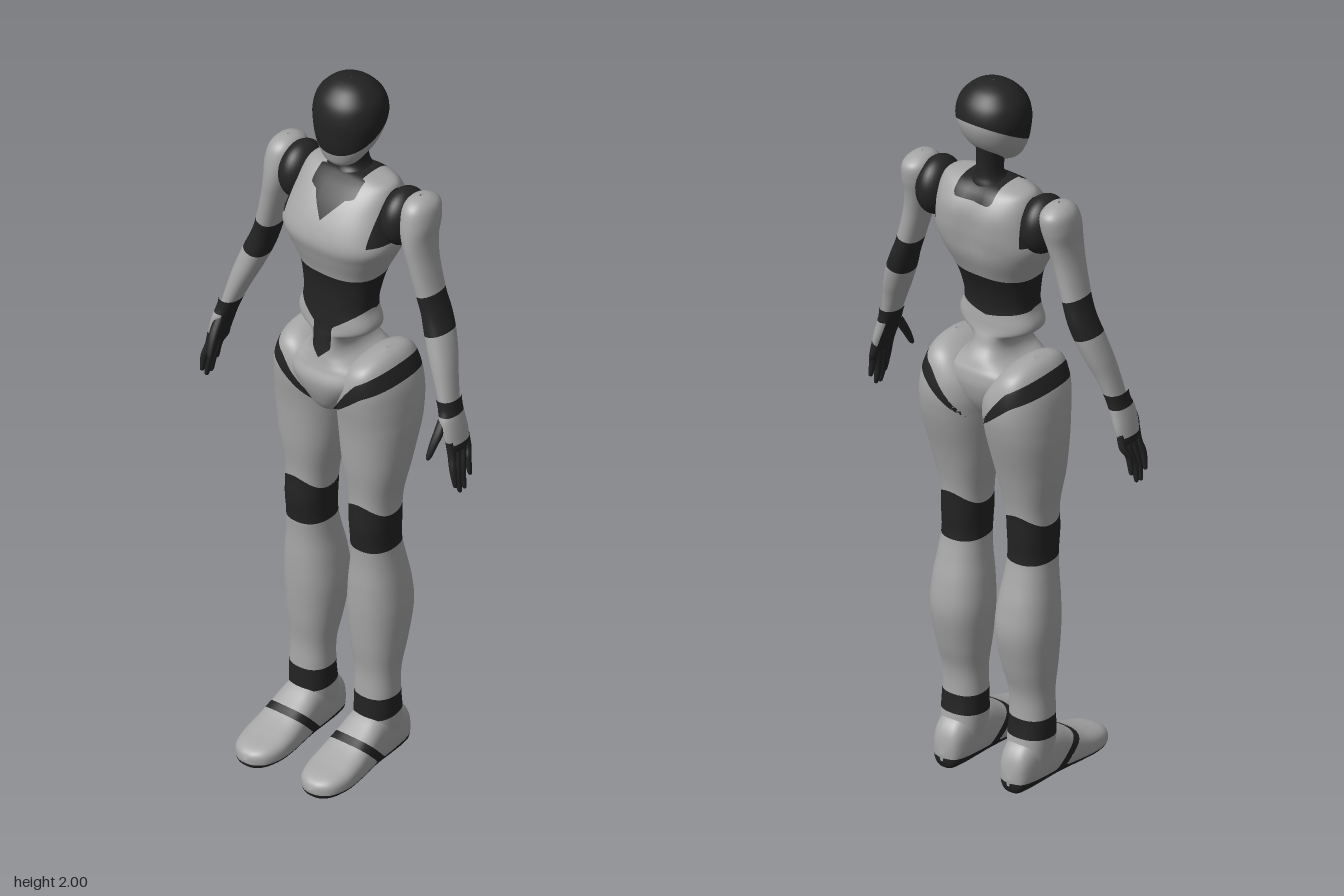
import * as THREE from 'three';

const light = new THREE.MeshStandardMaterial({ color: 0xa6a6a6 });
light.name = 'shell grey';
const dark = new THREE.MeshStandardMaterial({ color: 0x232323 });
dark.name = 'joint black';

// Smooth curve through four neighbouring values
const spline = (a, b, c, d, t) =>
  b + 0.5 * t * (c - a + t * (2 * a - 5 * b + 4 * c - d + t * (3 * (b - c) + d - a)));

// Keeps the part of a polygon where sign * f >= 0
function clip(poly, sign) {
  const out = [];
  poly.forEach((a, i) => {
    const b = poly[(i + 1) % poly.length];
    if (a.f * sign >= 0) out.push(a);
    if (a.f * b.f < 0) {
      const t = a.f / (a.f - b.f);
      out.push({ p: a.p.clone().lerp(b.p, t), n: a.n.clone().lerp(b.n, t).normalize(), f: 0 });
    }
  });
  return out;
}

// Lofts superellipse rings. Row: [height, xMin, xMax, depthMin, depthMax].
// field(x, y, z) > 0 is painted black; side -1 mirrors; axis 'z' runs the rows front to back.
function loft(name, rows, { field = () => -1, n = 2.2, side = 1, axis = 'y', seg = 48, steps = 6, warp } = {}) {
  const count = (rows.length - 1) * steps;
  const pos = [], index = [], vals = [];
  for (let i = 0; i <= count; i++) {
    const k = Math.min(Math.floor(i / steps), rows.length - 2), t = i / steps - k;
    const at = (j) => rows[Math.max(0, Math.min(rows.length - 1, j))];
    const r = rows[0].map((_, c) => spline(at(k - 1)[c], at(k)[c], at(k + 1)[c], at(k + 2)[c], t));
    for (let j = 0; j < seg; j++) {
      const a = (j / seg) * Math.PI * 2, c = Math.cos(a), s = Math.sin(a);
      const x = (r[1] + r[2]) / 2 + (r[2] - r[1]) / 2 * Math.sign(c) * Math.abs(c) ** (2 / n);
      const d = (r[3] + r[4]) / 2 + (r[4] - r[3]) / 2 * Math.sign(s) * Math.abs(s) ** (2 / n);
      const p = axis === 'y' ? new THREE.Vector3(x, r[0], d) : new THREE.Vector3(x, d, r[0]);
      if (warp) warp(p);
      vals.push(field(p.x, p.y, p.z) || 1e-9);
      pos.push(p.x * side, p.y, p.z);
    }
  }
  let flip = rows[0][0] > rows[rows.length - 1][0];
  if (axis === 'z') flip = !flip;
  if (side < 0) flip = !flip;
  for (let i = 0; i < count; i++) for (let j = 0; j < seg; j++) {
    const a = i * seg + j, b = a + seg, c = i * seg + (j + 1) % seg, d = c + seg;
    if (flip) index.push(a, c, b, b, c, d);
    else index.push(a, b, c, b, d, c);
  }
  const base = new THREE.BufferGeometry();
  base.setAttribute('position', new THREE.Float32BufferAttribute(pos, 3));
  base.setIndex(index);
  base.computeVertexNormals();
  const P = base.attributes.position, N = base.attributes.normal;
  const vert = (i) => ({
    p: new THREE.Vector3().fromBufferAttribute(P, i),
    n: new THREE.Vector3().fromBufferAttribute(N, i), f: vals[i],
  });
  // Split along the paint line into grey and black groups
  const geo = new THREE.BufferGeometry(), outP = [], outN = [];
  [-1, 1].forEach((sign, m) => {
    const start = outP.length / 3;
    for (let i = 0; i < index.length; i += 3) {
      const poly = clip([vert(index[i]), vert(index[i + 1]), vert(index[i + 2])], sign);
      for (let k = 1; k + 1 < poly.length; k++) for (const v of [poly[0], poly[k], poly[k + 1]]) {
        outP.push(v.p.x, v.p.y, v.p.z);
        outN.push(v.n.x, v.n.y, v.n.z);
      }
    }
    geo.addGroup(start, outP.length / 3 - start, m);
  });
  geo.setAttribute('position', new THREE.Float32BufferAttribute(outP, 3));
  geo.setAttribute('normal', new THREE.Float32BufferAttribute(outN, 3));
  const mesh = new THREE.Mesh(geo, [light, dark]);
  mesh.name = name;
  return mesh;
}

const sym = (rows) => rows.map(([y, w, b, f]) => [y, -w, w, b, f]);
const { min, max, abs } = Math;

// Slanted black band that wraps hip to crotch
const hipBand = (x, y) => {
  const a = abs(x);
  return min(min(1.019 + 1.353 * a, 1.105 + 0.6 * a) - y, y - min(1.025 + 0.86 * a, 1.08 + 0.45 * a));
};

function torsoPaint(x, y, z) {
  const a = abs(x), front = z + 0.06;
  const belt = min(1.46 - y, y - 1.36);
  const vee = min(front, 1.42 - y, max(min(y - 1.285 - 0.75 * a, 1), min(0.028 - a, y - 1.215 - a)));
  const back = min(-front, 1.46 - y, y - 1.335 - 0.2 * a);
  const collar = max(min(y - 1.69, 0.07 - a), min(front, y - 1.628 - 1.2 * a, 0.052 - a));
  const nape = min(-front, y - 1.69, 0.06 - a);
  const armhole = min(a - 0.132, y - 1.585);
  return max(belt, vee, back, y > 1.6 && z < -0.06 ? nape : collar, armhole, y < 1.2 ? hipBand(x, y) : -1);
}

function makeTorso() {
  return loft('torso', sym([
    [1.02, 0.004, -0.09, -0.04], [1.05, 0.035, -0.13, 0.02], [1.1, 0.085, -0.165, 0.05],
    [1.15, 0.125, -0.18, 0.062], [1.185, 0.125, -0.178, 0.05], [1.205, 0.095, -0.17, 0.044],
    [1.225, 0.066, -0.16, 0.04], [1.25, 0.055, -0.142, 0.035], [1.275, 0.065, -0.133, 0.03],
    [1.292, 0.105, -0.127, 0.026], [1.315, 0.115, -0.123, 0.023], [1.36, 0.101, -0.12, 0.019],
    [1.41, 0.106, -0.13, 0.018], [1.46, 0.117, -0.15, 0.025], [1.52, 0.145, -0.178, 0.045],
    [1.565, 0.164, -0.19, 0.057], [1.61, 0.157, -0.198, 0.045], [1.66, 0.145, -0.198, 0.016],
    [1.7, 0.136, -0.178, -0.018], [1.722, 0.118, -0.155, -0.045], [1.732, 0.06, -0.13, -0.065],
    [1.734, 0.002, -0.1, -0.095],
  ]), {
    n: 2.5, field: torsoPaint,
    // Groove along the spine
    warp: (p) => {
      if (p.z < -0.07) p.z += 0.014 * Math.exp(-((p.x / 0.03) ** 2) - ((p.y - 1.62) / 0.1) ** 2);
    },
  });
}

function makeHead() {
  const head = new THREE.Group();
  head.name = 'head';
  head.add(loft('helmet', sym([
    [1.763, 0.002, -0.05, -0.046], [1.767, 0.024, -0.068, -0.026], [1.78, 0.046, -0.088, -0.012],
    [1.8, 0.062, -0.112, -0.004], [1.83, 0.079, -0.147, 0.003], [1.87, 0.091, -0.172, 0.007],
    [1.91, 0.096, -0.182, 0.006], [1.95, 0.087, -0.172, -0.006], [1.98, 0.061, -0.147, -0.032],
    [1.995, 0.032, -0.118, -0.06], [2, 0.001, -0.09, -0.088],
  ]), { n: 2.1, field: (x, y, z) => y - 1.812 + 0.56 * z }));
  head.add(loft('neck', sym([
    [1.68, 0.07, -0.155, -0.04], [1.72, 0.05, -0.152, -0.05], [1.745, 0.034, -0.144, -0.066],
    [1.78, 0.031, -0.142, -0.06], [1.83, 0.033, -0.145, -0.05],
  ]), { field: () => 1, seg: 32 }));
  return head;
}

function makeLeg(side) {
  const leg = new THREE.Group();
  leg.name = side > 0 ? 'leftLeg' : 'rightLeg';
  leg.add(loft('thighAndCalf', [
    [0.08, 0.05, 0.16, -0.14, -0.005], [0.13, 0.047, 0.163, -0.13, -0.007], [0.2, 0.048, 0.163, -0.121, -0.01],
    [0.27, 0.047, 0.163, -0.123, -0.012], [0.35, 0.035, 0.172, -0.145, -0.003], [0.45, 0.025, 0.18, -0.165, 0.004],
    [0.53, 0.03, 0.177, -0.157, 0.005], [0.6, 0.04, 0.169, -0.14, 0.003], [0.66, 0.045, 0.163, -0.128, 0.006],
    [0.72, 0.044, 0.164, -0.13, 0.012], [0.8, 0.038, 0.167, -0.133, 0.009], [0.9, 0.018, 0.187, -0.155, 0.02],
    [1, 0.006, 0.199, -0.185, 0.028], [1.05, 0.003, 0.2, -0.198, 0.034], [1.1, 0.002, 0.197, -0.205, 0.042],
    [1.15, 0.015, 0.188, -0.201, 0.045], [1.2, 0.055, 0.168, -0.182, 0.03], [1.225, 0.09, 0.15, -0.145, -0.01],
    [1.236, 0.122, 0.126, -0.085, -0.075],
  ], {
    n: 2.3, side,
    field: (x, y, z) => max(
      min(0.79 - 9 * (x - 0.105) ** 2 - y, y - 0.652),
      min(0.2 - y, y - 0.135 + 0.1 * z),
      y > 0.95 ? hipBand(x, y) : -1),
  }));
  // Shoe with black sole and slanted instep strap
  leg.add(loft('foot', [
    [-0.166, 0.1, 0.11, 0.025, 0.045], [-0.155, 0.072, 0.138, 0.003, 0.1], [-0.125, 0.058, 0.152, 0, 0.135],
    [-0.07, 0.05, 0.16, 0, 0.152], [-0.02, 0.047, 0.163, 0, 0.148], [0.03, 0.043, 0.168, 0, 0.12],
    [0.08, 0.039, 0.173, 0, 0.092], [0.13, 0.04, 0.173, 0, 0.073], [0.175, 0.054, 0.16, 0.002, 0.06],
    [0.197, 0.078, 0.135, 0.008, 0.048], [0.205, 0.104, 0.108, 0.024, 0.03],
  ], {
    n: 2.7, side, axis: 'z',
    field: (x, y, z) => max(0.028 - 0.04 * z - y, 0.011 - 0.73 * abs(z - 0.05 - (y - 0.1) * 0.93)),
  }));
  return leg;
}

function makeArm(side) {
  const arm = new THREE.Group();
  arm.name = side > 0 ? 'leftArm' : 'rightArm';
  const joint = new THREE.Mesh(new THREE.SphereGeometry(1, 32, 24), dark);
  joint.name = 'shoulderJoint';
  joint.scale.set(0.05, 0.08, 0.074);
  joint.position.set(0.166 * side, 1.646, -0.097);
  arm.add(joint);
  arm.add(loft('upperArmAndForearm', [
    [1.19, 0.333, 0.375, -0.078, -0.014], [1.25, 0.307, 0.362, -0.093, -0.02], [1.3, 0.284, 0.35, -0.11, -0.026],
    [1.36, 0.26, 0.331, -0.126, -0.036], [1.41, 0.245, 0.31, -0.133, -0.043], [1.46, 0.23, 0.292, -0.132, -0.042],
    [1.55, 0.205, 0.27, -0.135, -0.035], [1.61, 0.188, 0.262, -0.145, -0.031], [1.66, 0.176, 0.264, -0.158, -0.035],
    [1.7, 0.178, 0.257, -0.16, -0.046], [1.72, 0.192, 0.24, -0.135, -0.068], [1.727, 0.214, 0.218, -0.104, -0.098],
  ], {
    side, seg: 40,
    field: (x, y) => min(1.385 + 0.3 * x - y, y - 1.272 - 0.3 * x),
  }));
  // Hand: black wrist and palm, grey back
  arm.add(loft('hand', [
    [1.06, 0.388, 0.396, -0.06, -0.015], [1.075, 0.373, 0.406, -0.074, -0.004], [1.11, 0.362, 0.401, -0.081, 0.003],
    [1.15, 0.347, 0.392, -0.08, 0.003], [1.18, 0.335, 0.384, -0.08, -0.006], [1.205, 0.325, 0.38, -0.084, -0.008],
  ], {
    side, seg: 32,
    field: (x, y) => max(y - 1.165, 1.09 - y, 0.374 - 0.35 * (y - 1.1) - x),
  }));
  const finger = (name, rows) => arm.add(loft(name,
    rows.map(([x, y, z, r]) => [y, x - r, x + r, z - r, z + r]), { side, seg: 12, steps: 4, field: () => 1 }));
  [[0.0, 0.975], [-0.018, 0.952], [-0.036, 0.955], [-0.058, 0.985]].forEach(([z, tip], i) => {
    const root = -0.008 - i * 0.02;
    finger('finger' + (i + 1), [
      [0.412, tip, z, 0.001], [0.411, tip + 0.006, z, 0.006], [0.404, tip + 0.05, z, 0.0095],
      [0.394, 1.06, root, 0.011], [0.386, 1.1, root, 0.011],
    ]);
  });
  finger('thumb', [
    [0.355, 1.055, 0.04, 0.001], [0.356, 1.062, 0.038, 0.007], [0.36, 1.095, 0.023, 0.011],
    [0.363, 1.125, 0.006, 0.013], [0.362, 1.155, -0.012, 0.012],
  ]);
  return arm;
}

export function createModel() {
  const model = new THREE.Group();
  model.name = 'mannequin';
  model.add(makeTorso(), makeHead());
  for (const side of [1, -1]) model.add(makeLeg(side), makeArm(side));
  return model;
}
